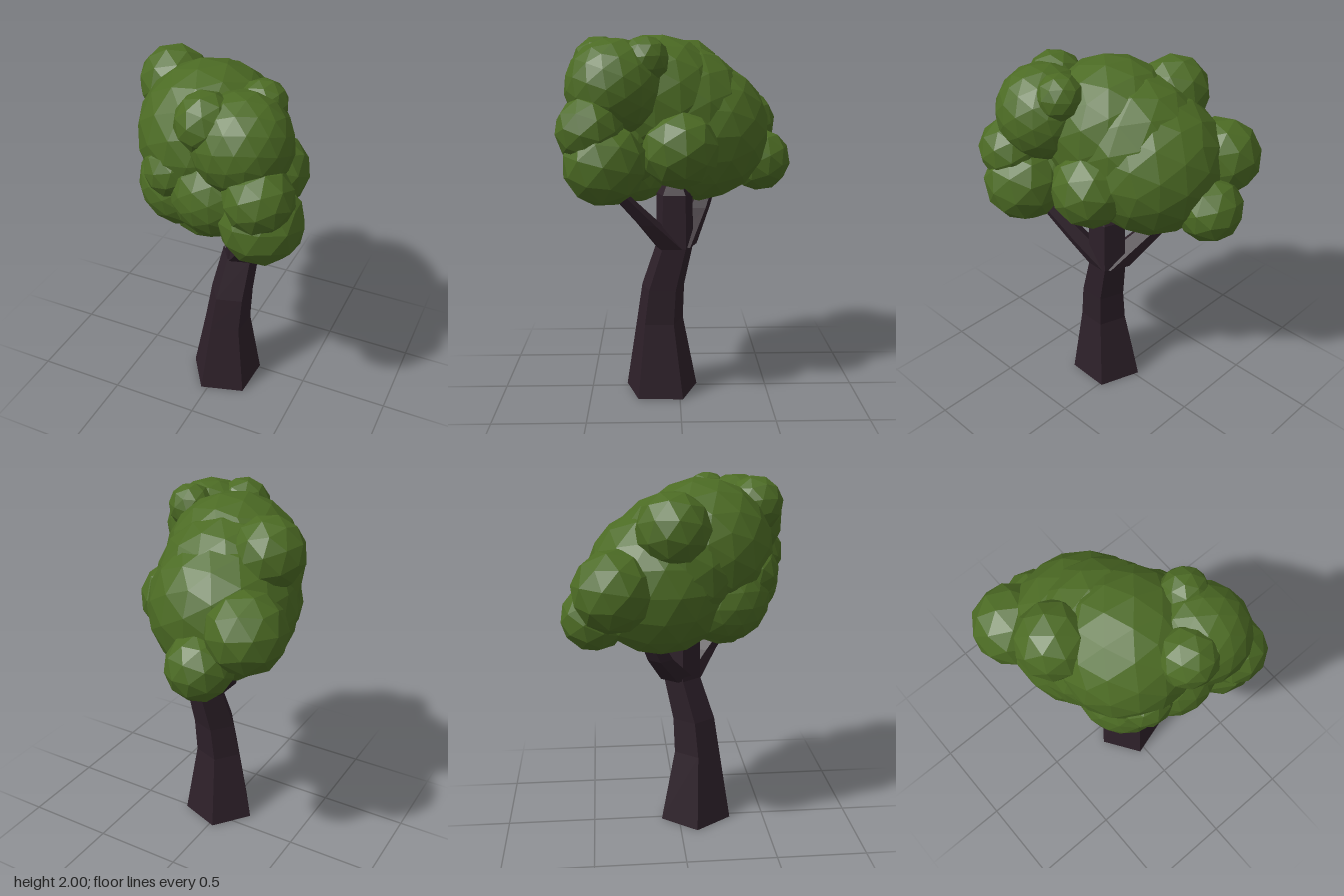
import * as THREE from 'three';

const bark = new THREE.MeshStandardMaterial({ color: 0x2d2029, flatShading: true });
const leaf = new THREE.MeshStandardMaterial({ color: 0x4c6b24, flatShading: true });

// Five-sided limb through rings of [x, y, z, radius], listed bottom to top
function limb(name, rings) {
  const last = rings.length - 1;
  const geo = new THREE.CylinderGeometry(1, 1, 1, 5, last, false, 0.91);
  const pos = geo.attributes.position;
  for (let i = 0; i < pos.count; i++) {
    const [x, y, z, r] = rings[Math.round((pos.getY(i) + 0.5) * last)];
    pos.setXYZ(i, x + pos.getX(i) * r, y, z + pos.getZ(i) * r);
  }
  geo.computeVertexNormals();
  const mesh = new THREE.Mesh(geo, bark);
  mesh.name = name;
  return mesh;
}

// Faceted leaf ball, finer when large, turned so that facets vary
function leafBall(name, [x, y, z, r], i) {
  const mesh = new THREE.Mesh(new THREE.IcosahedronGeometry(r, r > 0.23 ? 2 : 1), leaf);
  mesh.position.set(x, y, z);
  mesh.rotation.set(i * 0.7, i * 1.3, i * 0.4);
  mesh.name = name;
  return mesh;
}

export function createModel() {
  const tree = new THREE.Group();
  tree.name = 'tree';

  // Leaning trunk with a rounded tip, and its two forks
  tree.add(
    limb('trunk', [
      [0.035, 0, 0.102, 0.212],
      [0.048, 0.42, 0.11, 0.136],
      [0.066, 0.62, 0.092, 0.124],
      [0.094, 0.86, 0.028, 0.108],
      [0.094, 1.15, 0.028, 0.104],
      [0.094, 1.22, 0.028, 0.06],
    ]),
    limb('leftBranch', [
      [0.095, 0.84, 0.03, 0.1],
      [0.185, 1.0, 0.17, 0.066],
      [0.29, 1.25, 0.39, 0.04],
    ]),
    limb('rightBranch', [
      [0.08, 0.86, 0.0, 0.1],
      [-0.11, 1.04, -0.11, 0.073],
      [-0.2, 1.25, -0.2, 0.05],
    ]),
  );

  // Crown: large masses first, then smaller clumps around them
  const crown = new THREE.Group();
  crown.name = 'crown';
  const masses = [
    [-0.1, 1.475, -0.11, 0.395],
    [-0.035, 1.625, 0.12, 0.38],
    [-0.075, 1.56, -0.01, 0.385],
    [0.235, 1.73, 0.345, 0.255],
    [0.09, 1.43, 0.315, 0.245],
    [-0.13, 1.39, 0.23, 0.245],
  ];
  const clumps = [
    [0.36, 1.35, 0.39, 0.22],
    [0.37, 1.52, 0.46, 0.18],
    [-0.13, 1.52, 0.37, 0.15],
    [-0.01, 1.27, 0.23, 0.185],
    [0.08, 1.84, 0.42, 0.155],
    [0.27, 1.87, 0.18, 0.125],
    [0.245, 1.41, 0.0, 0.212],
    [-0.37, 1.49, -0.36, 0.215],
    [-0.17, 1.3, -0.46, 0.18],
    [-0.325, 1.785, -0.055, 0.195],
  ];
  masses.forEach((b, i) => crown.add(leafBall('leafMass', b, i)));
  clumps.forEach((b, i) => crown.add(leafBall('leafClump', b, i + 6)));
  tree.add(crown);
  return tree;
}
